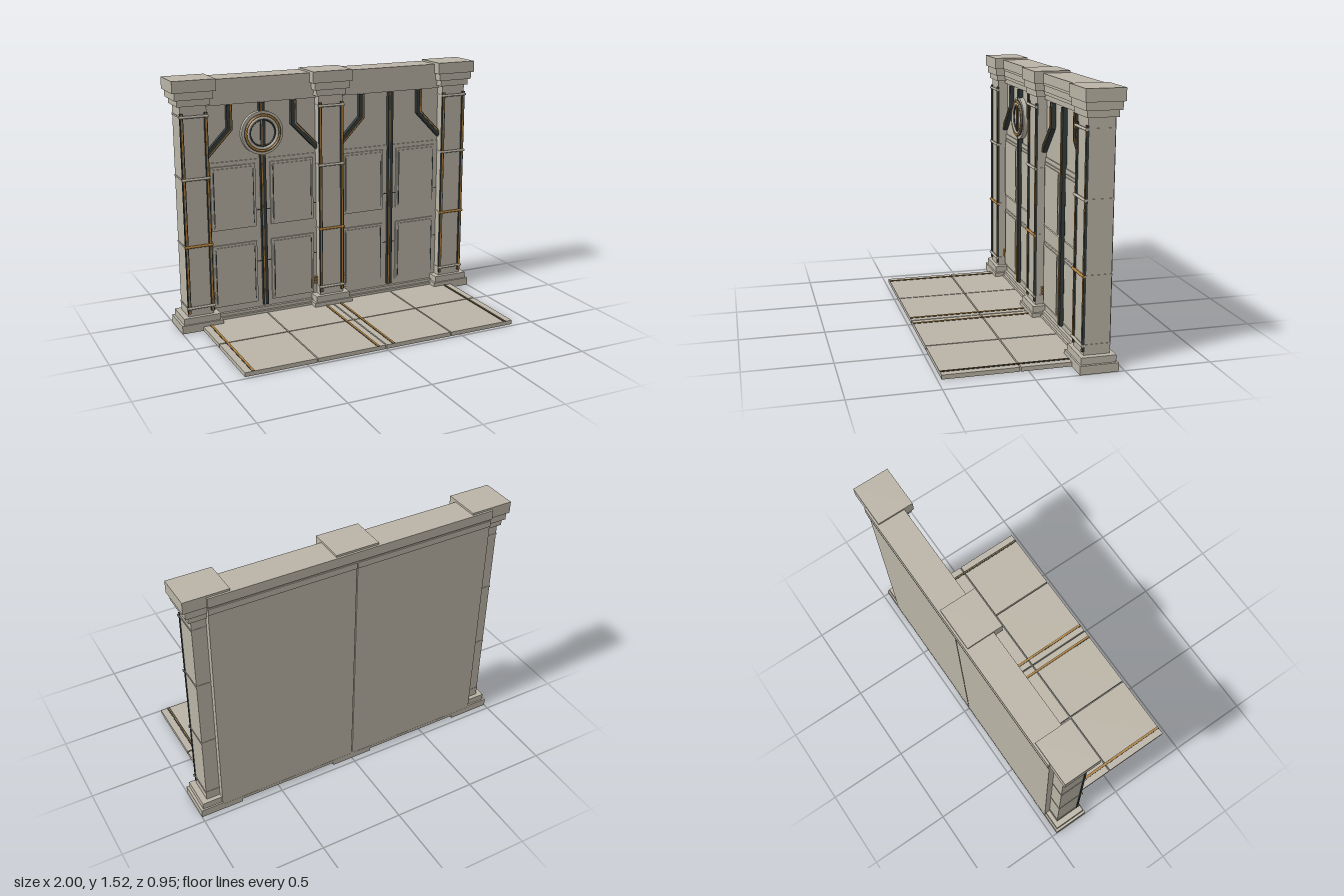
import * as THREE from 'three';

export function createModel() {
  const model = new THREE.Group();
  model.name = 'panelledWall';
  const mat = (name, color) => {
    const m = new THREE.MeshStandardMaterial({ color });
    m.name = name;
    return m;
  };
  const stone = mat('stone', 0xbab4a6);
  const dark = mat('darkMetal', 0x343b3b);
  const gold = mat('brass', 0xb07f3a);

  const add = (parent, name, geo, material) => {
    const mesh = new THREE.Mesh(geo, material);
    mesh.name = name;
    parent.add(mesh);
    return mesh;
  };
  // Box given by its lower and upper bounds on each axis
  const box = (parent, name, x0, x1, y0, y1, z0, z1, material = stone) => {
    const mesh = add(parent, name, new THREE.BoxGeometry(x1 - x0, y1 - y0, z1 - z0), material);
    mesh.position.set((x0 + x1) / 2, (y0 + y1) / 2, (z0 + z1) / 2);
    return mesh;
  };
  const group = (name) => {
    const g = new THREE.Group();
    g.name = name;
    model.add(g);
    return g;
  };

  // Floor: two rows of four slabs with open joints
  const floor = group('floor');
  const gap = 0.004;
  for (let i = 0; i < 4; i++) {
    const x = -0.87 + i * 0.435;
    for (const [z0, z1] of [[-0.385, 0.045], [0.045, 0.477]])
      box(floor, 'floorSlab', x + (i ? gap : 0), x + 0.435 - (i < 3 ? gap : 0), 0, 0.025,
        z0 + (z0 > 0 ? gap : 0), z1 - (z1 < 0.1 ? gap : 0));
  }
  for (const x of [-0.82, -0.05, 0.05, 0.82]) {
    box(floor, 'floorRail', x - 0.009, x + 0.009, 0.022, 0.027, -0.3, 0.477, dark);
    const w = x > 0.5 ? 0.002 : 0.006;
    box(floor, 'floorInlay', x - w, x + w, 0.024, 0.029, -0.3, 0.477, gold);
  }

  // Pillars: stepped base, shaft, bands, corner conduits, stepped capital
  const pillarZ = -0.355;
  for (const px of [-0.87, 0, 0.87]) {
    const p = group('pillar');
    const tier = (name, half, halfZ, y0, y1, material) =>
      box(p, name, px - half, px + half, y0, y1, pillarZ - halfZ, pillarZ + halfZ, material);
    tier('base', 0.13, 0.11, 0, 0.05);
    tier('baseStep', 0.115, 0.1, 0.05, 0.09);
    tier('shaft', 0.08, 0.075, 0.09, 1.375);
    tier('capitalNeck', 0.098, 0.088, 1.372, 1.41);
    tier('capitalStep', 0.115, 0.1, 1.41, 1.455);
    tier('capital', 0.13, 0.11, 1.455, 1.525);
    for (const y of [0.145, 0.53, 0.94, 1.31]) {
      const material = y === 0.53 ? gold : stone;
      tier('band', 0.083, 0.077, y - 0.005, y + 0.005, stone);
      const rod = add(p, 'frontBand', new THREE.CylinderGeometry(0.008, 0.008, 0.176, 10), material);
      rod.rotation.z = Math.PI / 2;
      rod.position.set(px, y, -0.27);
    }
    for (const s of [-1, 1]) {
      const x = px + s * 0.073;
      box(p, 'cornerConduit', x - 0.01, x + 0.01, 0.11, 1.33, -0.285, -0.271, dark);
      box(p, 'cornerInlay', x - 0.004, x + 0.004, 0.11, 1.33, -0.273, -0.269, gold);
    }
  }

  // Stepped conduit following a list of points, with a brass line on one edge
  const strip = (parent, name, pts, half, offset, z0, z1, material) => {
    const n = pts.length;
    const side = (s) => pts.map((p, i) => {
      const a = pts[Math.max(i - 1, 0)], b = pts[Math.min(i + 1, n - 1)];
      const d1 = new THREE.Vector2(p[0] - a[0], p[1] - a[1]).normalize();
      const d2 = new THREE.Vector2(b[0] - p[0], b[1] - p[1]).normalize();
      const d = d1.clone().add(d2).normalize();
      const k = (offset + s * half) / d.dot(i ? d1 : d2);
      return new THREE.Vector2(p[0] - d.y * k, p[1] + d.x * k);
    });
    const shape = new THREE.Shape([...side(1), ...side(-1).reverse()]);
    const geo = new THREE.ExtrudeGeometry(shape, { depth: z1 - z0, bevelEnabled: false });
    add(parent, name, geo, material).position.z = z0;
  };
  const conduit = (parent, pts) => {
    strip(parent, 'conduit', pts, 0.017, 0, -0.345, -0.313, dark);
    strip(parent, 'conduitInlay', pts, 0.003, 0.008, -0.315, -0.309, gold);
  };

  // Two wall bays
  for (const s of [-1, 1]) {
    const bay = group(s < 0 ? 'rightBay' : 'leftBay');
    const cx = s * 0.435;
    const span = (name, y0, y1, z0, z1) =>
      box(bay, name, cx - 0.432, cx + 0.432, y0, y1, z0, z1);
    span('wall', 0.025, 1.46, -0.465, -0.34);
    span('plinth', 0.02, 0.04, -0.466, -0.3);
    span('plinthStep', 0.04, 0.06, -0.465, -0.315);
    span('wainscot', 0.06, 1.01, -0.4, -0.333);
    span('frieze', 1.355, 1.385, -0.45, -0.325);
    span('architrave', 1.385, 1.405, -0.465, -0.318);
    span('corniceStep', 1.405, 1.442, -0.471, -0.31);
    span('corniceNeck', 1.442, 1.456, -0.465, -0.305);
    box(bay, 'cornice', cx - 0.435, cx + 0.435, 1.456, 1.513, -0.477, -0.3);

    // Raised panels with a frame and thin side grooves
    for (const dx of [-0.19, 0.19]) for (const [y0, y1] of [[0.1, 0.495], [0.59, 0.985]]) {
      const x = cx + dx, w = 0.142;
      box(bay, 'panel', x - w, x + w, y0, y1, -0.34, -0.324);
      box(bay, 'panelField', x - w + 0.014, x + w - 0.014, y0 + 0.014, y1 - 0.014, -0.33, -0.318);
      for (const e of [-1, 1]) {
        const gx = x + e * (w - 0.017);
        box(bay, 'panelGroove', gx - 0.0025, gx + 0.0025, y0 + 0.025, y1 - 0.025, -0.32, -0.3165, dark);
      }
    }
    for (const y of [0.36, 0.69])
      box(bay, 'crossSeam', cx - 0.36, cx + 0.36, y - 0.003, y + 0.003, -0.335, -0.331, dark);

    // Conduits: one straight in the middle, two bent towards the pillars
    conduit(bay, [[cx, 0.075], [cx, 1.355]]);
    for (const d of [-1, 1])
      conduit(bay, [[cx + d * 0.205, 1.355], [cx + d * 0.205, 1.21], [cx + d * 0.36, 1.05]]);

    // Small brass vents beside the pillars
    for (const d of s < 0 ? [-1, 1] : [-1]) for (let i = 0; i < 3; i++) {
      const x = cx + d * 0.345, y = 0.158 + i * 0.018;
      box(bay, 'vent', x - 0.018, x + 0.018, y, y + 0.009, -0.335, -0.316, gold);
    }
  }

  // Round medallion over the conduit of the right bay
  const medallion = group('medallion');
  medallion.position.set(-0.435, 1.17, 0);
  const disc = add(medallion, 'medallionDisc', new THREE.CylinderGeometry(0.133, 0.133, 0.03, 48), stone);
  disc.rotation.x = Math.PI / 2;
  disc.position.z = -0.327;
  const ring = (name, r, tube, z, material) =>
    add(medallion, name, new THREE.TorusGeometry(r, tube, 8, 48), material).position.z = z;
  ring('outerDarkRing', 0.108, 0.009, -0.308, dark);
  ring('brassRing', 0.108, 0.006, -0.302, gold);
  ring('stoneRing', 0.093, 0.009, -0.306, stone);
  ring('innerDarkRing', 0.08, 0.005, -0.309, dark);
  box(medallion, 'medallionBar', -0.016, 0.016, -0.1, 0.1, -0.32, -0.305, dark);
  box(medallion, 'medallionInlay', -0.011, -0.005, -0.1, 0.1, -0.307, -0.302, gold);

  return model;
}
